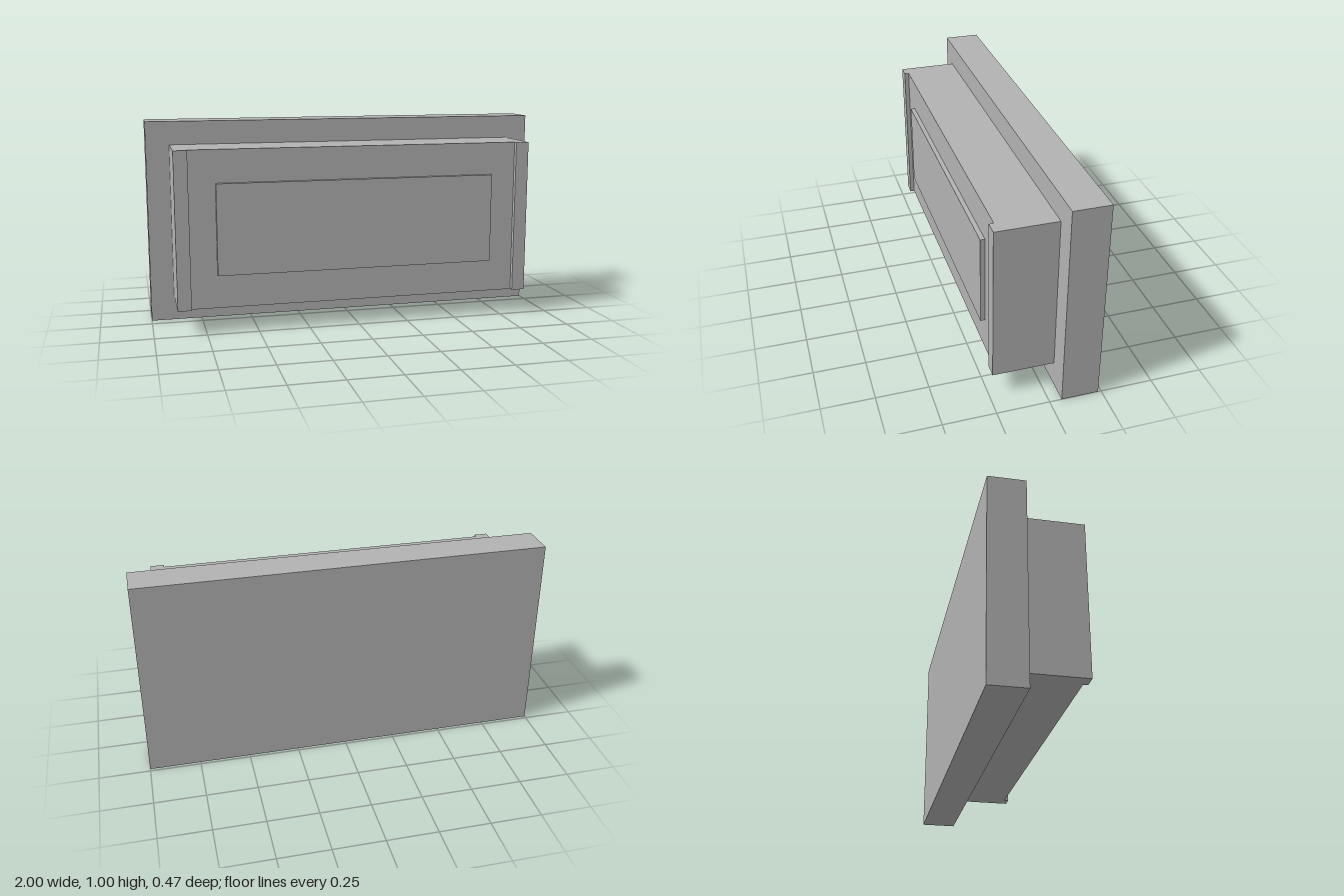
import * as THREE from 'three';

const BACK = -0.235, PLATE_FRONT = -0.058, RECESS = 0.213, FRONT = 0.235;
const BOTTOM = 0.12, TOP = 0.885;

export function createModel() {
  const group = new THREE.Group();
  const grey = new THREE.MeshStandardMaterial({ color: 0xb2b2b2 });
  grey.name = 'plain grey';

  const add = (name, geometry) => {
    const mesh = new THREE.Mesh(geometry, grey);
    mesh.name = name;
    group.add(mesh);
  };
  // Box given by its limits on each axis
  const box = (x0, x1, y0, y1, z0, z1) =>
    new THREE.BoxGeometry(x1 - x0, y1 - y0, z1 - z0)
      .translate((x0 + x1) / 2, (y0 + y1) / 2, (z0 + z1) / 2);

  // Large rear plate
  add('backPlate', box(-1, 1, 0, 1, BACK, PLATE_FRONT));

  // Front block: plan outline with a raised strip at each end, extruded upwards
  const outer = 0.886, inner = 0.82;
  const plan = new THREE.Shape([
    [-outer, PLATE_FRONT], [outer, PLATE_FRONT], [outer, FRONT], [inner, FRONT],
    [inner, RECESS], [-inner, RECESS], [-inner, FRONT], [-outer, FRONT],
  ].map(([x, z]) => new THREE.Vector2(x, -z)));
  add('frontBlock', new THREE.ExtrudeGeometry(plan, { depth: TOP - BOTTOM, bevelEnabled: false })
    .rotateX(-Math.PI / 2)
    .translate(0, BOTTOM, 0));

  // Raised panel in the middle of the recessed face
  add('raisedPanel', box(-0.692, 0.692, 0.282, 0.725, RECESS, FRONT));

  return group;
}
